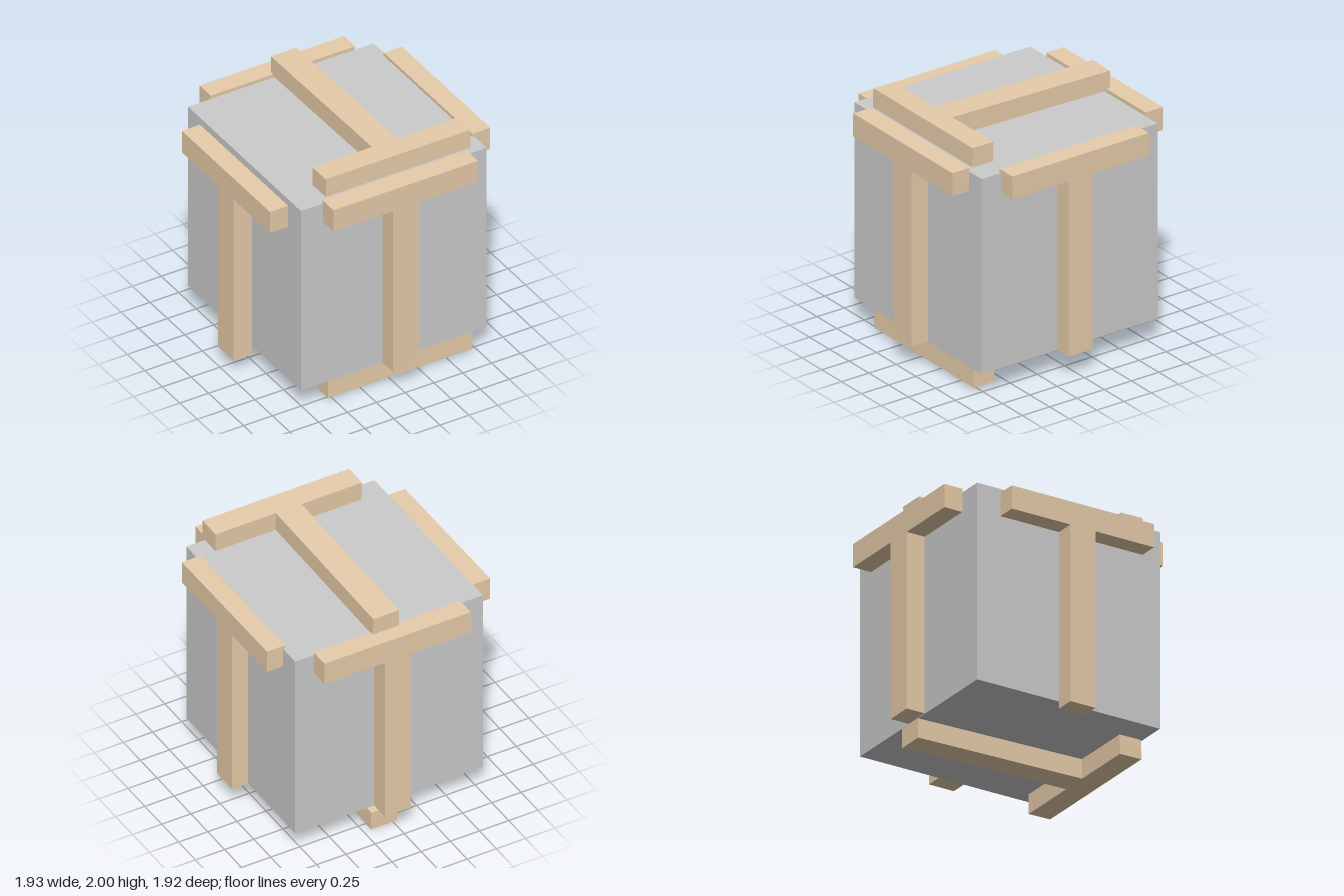
import * as THREE from 'three';

export function createModel() {
  const model = new THREE.Group();
  const grey = new THREE.MeshStandardMaterial({ color: 0xcccccc });
  const wood = new THREE.MeshStandardMaterial({ color: 0xe7ccaa });

  // Central block
  const block = new THREE.Mesh(new THREE.BoxGeometry(1.61, 1.61, 1.61), grey);
  block.name = 'block';
  block.position.set(0.015, 0.995, 0.005);
  model.add(block);

  // T-shaped brace: crossbar on top of a stem, centred on its own origin
  const height = 1.635, barHalf = 0.627, barHeight = 0.19, stemHalf = 0.11, depth = 0.158;
  const top = height / 2, under = top - barHeight;
  const outline = new THREE.Shape([
    [-stemHalf, -top], [stemHalf, -top], [stemHalf, under], [barHalf, under],
    [barHalf, top], [-barHalf, top], [-barHalf, under], [-stemHalf, under],
  ].map(([x, y]) => new THREE.Vector2(x, y)));
  const braceGeometry = new THREE.ExtrudeGeometry(outline, { depth, bevelEnabled: false });
  braceGeometry.translate(0, 0, -depth / 2);

  // One brace per face; those above and below lean slightly
  const quarter = Math.PI / 2, lean = 0.019;
  const braces = [
    ['frontBrace', [0.029, 1.009, 0.881], [0, 0, 0]],
    ['backBrace', [0.035, 1.009, -0.883], [0, Math.PI, 0]],
    ['leftBrace', [0.88, 1.009, 0.006], [0, quarter + 0.004, 0]],
    ['rightBrace', [-0.883, 0.941, 0.022], [0, -quarter + 0.003, 0]],
    ['topBrace', [0.06, 1.906, -0.017], [quarter - lean, 0, 0]],
    ['bottomBrace', [0.078, 0.097, -0.017], [quarter - lean, 0, 0]],
  ];
  for (const [name, position, rotation] of braces) {
    const brace = new THREE.Mesh(braceGeometry, wood);
    brace.name = name;
    brace.position.set(...position);
    brace.rotation.set(...rotation);
    model.add(brace);
  }
  return model;
}
